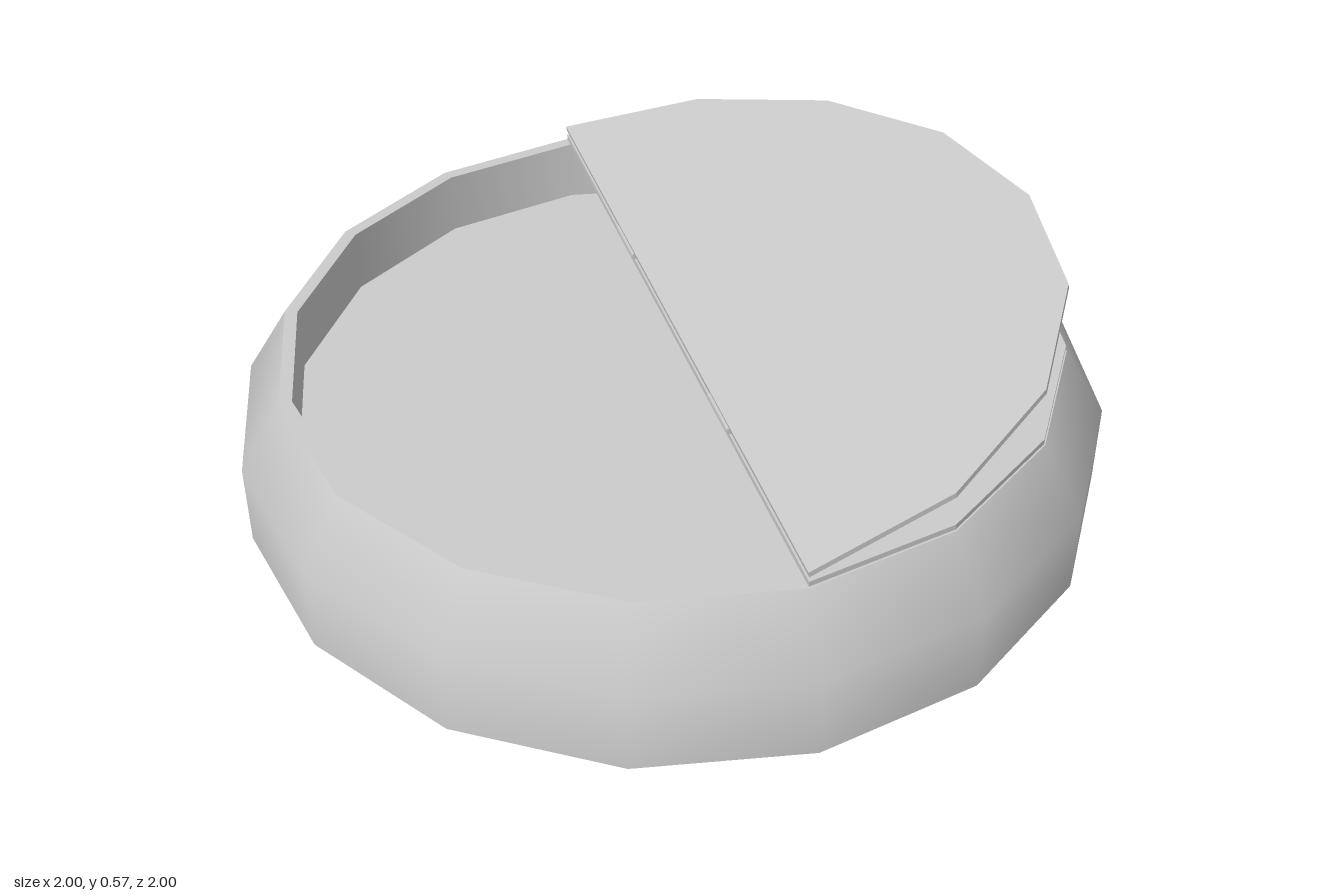
import * as THREE from 'three';
import { mergeGeometries } from 'three/addons/utils/BufferGeometryUtils.js';

const SIDES = 16;
const THICK = 0.013;

export function createModel() {
  const model = new THREE.Group();
  model.name = 'tin';
  const material = new THREE.MeshStandardMaterial({ color: 0xcccccc });

  const add = (name, geometry, parent = model) => {
    const mesh = new THREE.Mesh(geometry, material);
    mesh.name = name;
    parent.add(mesh);
    return mesh;
  };

  // Body: each run of the profile is smooth, with sharp edges between runs
  const runs = [
    [[0, 0], [1, 0]],                   // underside
    [[1, 0], [1, 0.2], [0.9, 0.365]],   // outer wall and shoulder
    [[0.9, 0.365], [0.87, 0.365]],      // rim
    [[0.87, 0.365], [0.87, 0.21]],      // inner wall
    [[0.87, 0.21], [0, 0.21]],          // inner floor
  ];
  add('body', mergeGeometries(runs.map((run) =>
    new THREE.LatheGeometry(run.map(([r, y]) => new THREE.Vector2(r, y)), SIDES))));

  // Half disc plate on the +x side, resting on y = 0
  const outline = [];
  for (let i = 0; i <= SIDES / 2; i++) {
    const a = -Math.PI / 2 + (i / SIDES) * Math.PI * 2;
    outline.push(new THREE.Vector2(0.897 * Math.cos(a), 0.897 * Math.sin(a)));
  }
  const plate = new THREE.ExtrudeGeometry(new THREE.Shape(outline),
    { depth: THICK, bevelEnabled: false }).rotateX(-Math.PI / 2);

  // Fixed half of the lid
  add('fixedLid', plate).position.y = 0.367;

  // Opening half, folded back over the fixed half
  const lid = add('openLid', plate);
  lid.position.y = 0.392;
  lid.rotation.z = THREE.MathUtils.degToRad(10.3);

  // Two hinge barrels along the fold
  for (const side of [-1, 1]) {
    const barrel = new THREE.CylinderGeometry(0.01, 0.01, 0.13, 8).rotateX(Math.PI / 2);
    add(side > 0 ? 'frontHinge' : 'backHinge', barrel).position.set(0.003, 0.388, side * 0.35);
  }
  return model;
}
